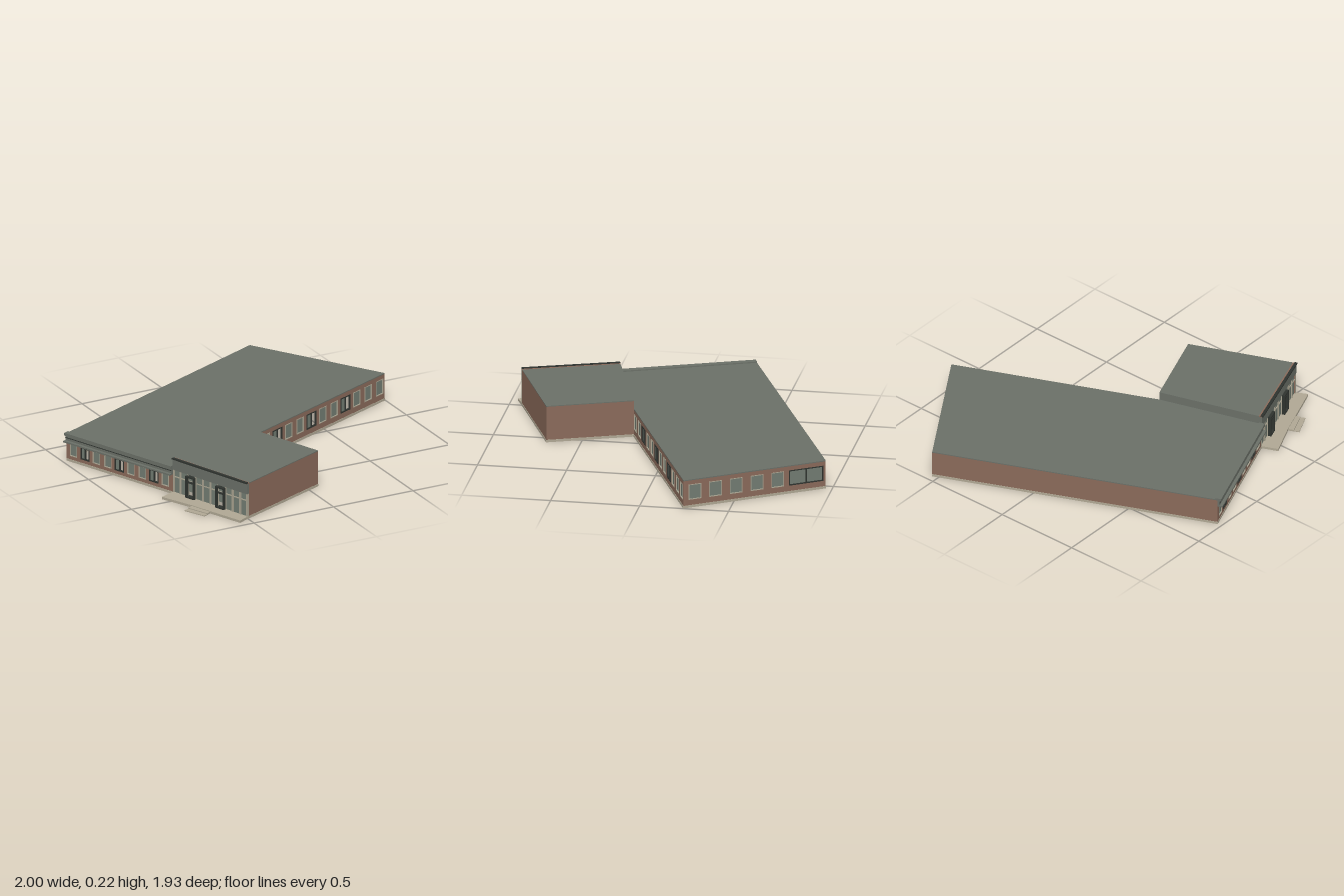
import * as THREE from 'three';

const mat = (name, color) => {
  const m = new THREE.MeshStandardMaterial({ color });
  m.name = name;
  return m;
};

export function createModel() {
  const brick = mat('brick', 0x8a6a5a);
  const roofing = mat('roofing', 0x6b7068);
  const concrete = mat('concrete', 0xb0a894);
  const glass = mat('glass', 0x727c72);
  const darkFrame = mat('dark frame', 0x2f332f);
  const paleFrame = mat('pale frame', 0xaaa491);

  const model = new THREE.Group();
  model.name = 'schoolBuilding';

  // Plan corners as [x, z]
  const A = [-0.972, -0.306], B = [0.535, -0.963], C = [0.995, -0.246], D = [-0.107, 0.23];
  const E = [0.07, 0.69], F = [-0.503, 0.93], W = [-0.69, 0.41], G = [-0.658, 0.465];
  const LOW = 0.158, HIGH = 0.208, BASE = 0.014, T = 0.01;

  function add(parent, name, geometry, material, x = 0, y = 0, z = 0) {
    const mesh = new THREE.Mesh(geometry, material);
    mesh.name = name;
    mesh.position.set(x, y, z);
    parent.add(mesh);
    return mesh;
  }

  function box(parent, name, material, x0, x1, y0, y1, z0, z1) {
    return add(parent, name, new THREE.BoxGeometry(x1 - x0, y1 - y0, z1 - z0), material,
      (x0 + x1) / 2, (y0 + y1) / 2, (z0 + z1) / 2);
  }

  // Horizontal slab from a plan outline
  function slab(name, material, points, y0, y1) {
    const shape = new THREE.Shape(points.map(([x, z]) => new THREE.Vector2(x, -z)));
    const g = new THREE.ExtrudeGeometry(shape, { depth: y1 - y0, bevelEnabled: false });
    g.rotateX(-Math.PI / 2);
    return add(model, name, g, material, 0, y0, 0);
  }

  // Group running from p to q, with local +z facing outdoors
  function side(name, p, q) {
    const group = new THREE.Group();
    const dx = q[0] - p[0], dz = q[1] - p[1];
    group.name = name;
    group.position.set(p[0], 0, p[1]);
    group.rotation.y = Math.atan2(-dz, dx);
    group.userData.length = Math.hypot(dx, dz);
    model.add(group);
    return group;
  }

  const rect = (Type, x0, x1, y0, y1) => new Type([
    new THREE.Vector2(x0, y0), new THREE.Vector2(x1, y0),
    new THREE.Vector2(x1, y1), new THREE.Vector2(x0, y1)]);

  // Rectangular frame around an opening
  function frame(parent, material, x0, x1, y0, y1, w, z0, depth) {
    const s = rect(THREE.Shape, x0, x1, y0, y1);
    s.holes.push(rect(THREE.Path, x0 + w, x1 - w, y0 + w, y1 - w));
    add(parent, 'frame', new THREE.ExtrudeGeometry(s, { depth, bevelEnabled: false }),
      material, 0, 0, z0);
  }

  // Brick wall on a concrete plinth; windows are {x, w, y0, y1, kind}
  function wall(name, p, q, top, windows = []) {
    const g = side(name, p, q), L = g.userData.length;
    const shape = rect(THREE.Shape, 0, L, BASE, top);
    for (const o of windows) {
      shape.holes.push(rect(THREE.Path, o.x - o.w / 2, o.x + o.w / 2, o.y0, o.y1));
    }
    add(g, 'brickwork', new THREE.ExtrudeGeometry(shape, { depth: T, bevelEnabled: false }),
      brick, 0, 0, -T);
    box(g, 'plinth', concrete, 0, L, 0, BASE, -T, 0.002);
    for (const o of windows) {
      const x0 = o.x - o.w / 2, x1 = o.x + o.w / 2, dark = o.kind !== 'plain';
      frame(g, dark ? darkFrame : paleFrame, x0, x1, o.y0, o.y1, dark ? 0.006 : 0.004, -T, T + 0.002);
      if (dark) box(g, 'mullion', darkFrame, o.x - 0.003, o.x + 0.003, o.y0, o.y1, -T, 0.002);
      // An open unit is glazed on one half only
      box(g, 'pane', glass, x0, o.kind === 'open' ? o.x : x1, o.y0, o.y1, -0.007, -0.004);
    }
    return g;
  }

  // Plain walls
  wall('wingFrontWall', F, E, HIGH);
  wall('wingSideWall', E, D, HIGH);
  wall('rearWall', B, A, LOW);

  // Courtyard wall: every third unit is a half-open dark one
  const yard = [];
  for (let i = 0; i < 12; i++) {
    const open = i === 2 || i === 5 || i === 8;
    yard.push({ x: 0.04 + i * 0.1014, w: open ? 0.088 : 0.064, y0: 0.046, y1: 0.135, kind: open ? 'open' : 'plain' });
  }
  wall('courtyardWall', D, C, LOW, yard);

  // End wall: five windows and one wide dark pair
  const end = [];
  for (let i = 0; i < 5; i++) {
    end.push({ x: 0.068 + i * 0.124, w: 0.076, y0: 0.046, y1: 0.135, kind: 'plain' });
  }
  end.push({ x: 0.735, w: 0.205, y0: 0.046, y1: 0.135, kind: 'pair' });
  wall('endWall', C, B, LOW, end);

  // Entrance side, classroom part, with canopy and fascia
  const rooms = [];
  for (let i = 0; i < 9; i++) {
    const open = i % 3 === 1;
    rooms.push({ x: 0.05 + i * 0.083, w: open ? 0.066 : 0.052, y0: 0.034, y1: 0.106, kind: open ? 'open' : 'plain' });
  }
  const west = wall('classroomWall', A, W, LOW, rooms);
  const westL = west.userData.length;
  box(west, 'canopy', roofing, 0, westL, 0.117, 0.126, 0, 0.03);
  box(west, 'fascia', roofing, 0, westL, 0.126, 0.155, 0, 0.012);
  box(west, 'fasciaLine', darkFrame, 0, westL, 0.14, 0.144, 0.012, 0.014);
  box(west, 'roofEdge', roofing, 0, westL, 0.155, 0.171, -0.012, 0.022);

  // Glazed entrance hall
  const hall = side('entranceHall', W, F), L = hall.userData.length;
  box(hall, 'plinth', concrete, 0, L, 0, BASE, -T, 0.002);
  box(hall, 'fascia', roofing, 0, L, 0.148, HIGH, -T, 0.006);
  box(hall, 'parapet', brick, 0, L, HIGH, 0.214, -0.014, 0.006);
  box(hall, 'parapetCap', darkFrame, 0, L, 0.21, 0.218, -0.004, 0.012);
  const bays = 10, bay = L / bays;
  for (let i = 0; i <= bays; i++) {
    const x = Math.min(Math.max(i * bay, 0.005), L - 0.005);
    box(hall, 'mullion', paleFrame, x - 0.005, x + 0.005, BASE, 0.148, -T, 0.002);
  }
  for (let i = 0; i < bays; i++) {
    const x0 = i * bay, x1 = x0 + bay, door = i === 2 || i === 6;
    box(hall, 'pane', glass, x0, x1, door ? 0.045 : BASE, 0.148, -0.007, -0.004);
    box(hall, 'transom', paleFrame, x0, x1, 0.104, 0.109, -T, 0.001);
    if (door) {
      frame(hall, darkFrame, x0 - 0.004, x1 + 0.004, BASE, 0.142, 0.008, -T, 0.03);
      box(hall, 'doorRail', darkFrame, x0, x1, 0.1, 0.108, -T, 0.012);
    }
  }

  // Roofs and the step between them
  slab('mainRoof', roofing, [A, B, C, D, G, W], LOW, 0.164);
  slab('wingRoof', roofing, [W, D, E, F], HIGH, 0.213);
  const step = side('roofStep', D, W);
  box(step, 'stepFace', roofing, 0, step.userData.length, LOW, HIGH, -0.006, 0);

  // Entrance terrace and its steps
  slab('terrace', concrete, [[-0.781, 0.449], W, F, [-0.567, 0.963], [-0.647, 0.76], [-0.695, 0.636]], 0, 0.014);
  slab('upperStep', concrete, [[-0.695, 0.636], [-0.647, 0.76], [-0.671, 0.773], [-0.725, 0.65]], 0, 0.01);
  slab('lowerStep', concrete, [[-0.725, 0.65], [-0.671, 0.773], [-0.695, 0.786], [-0.754, 0.663]], 0, 0.005);

  return model;
}
